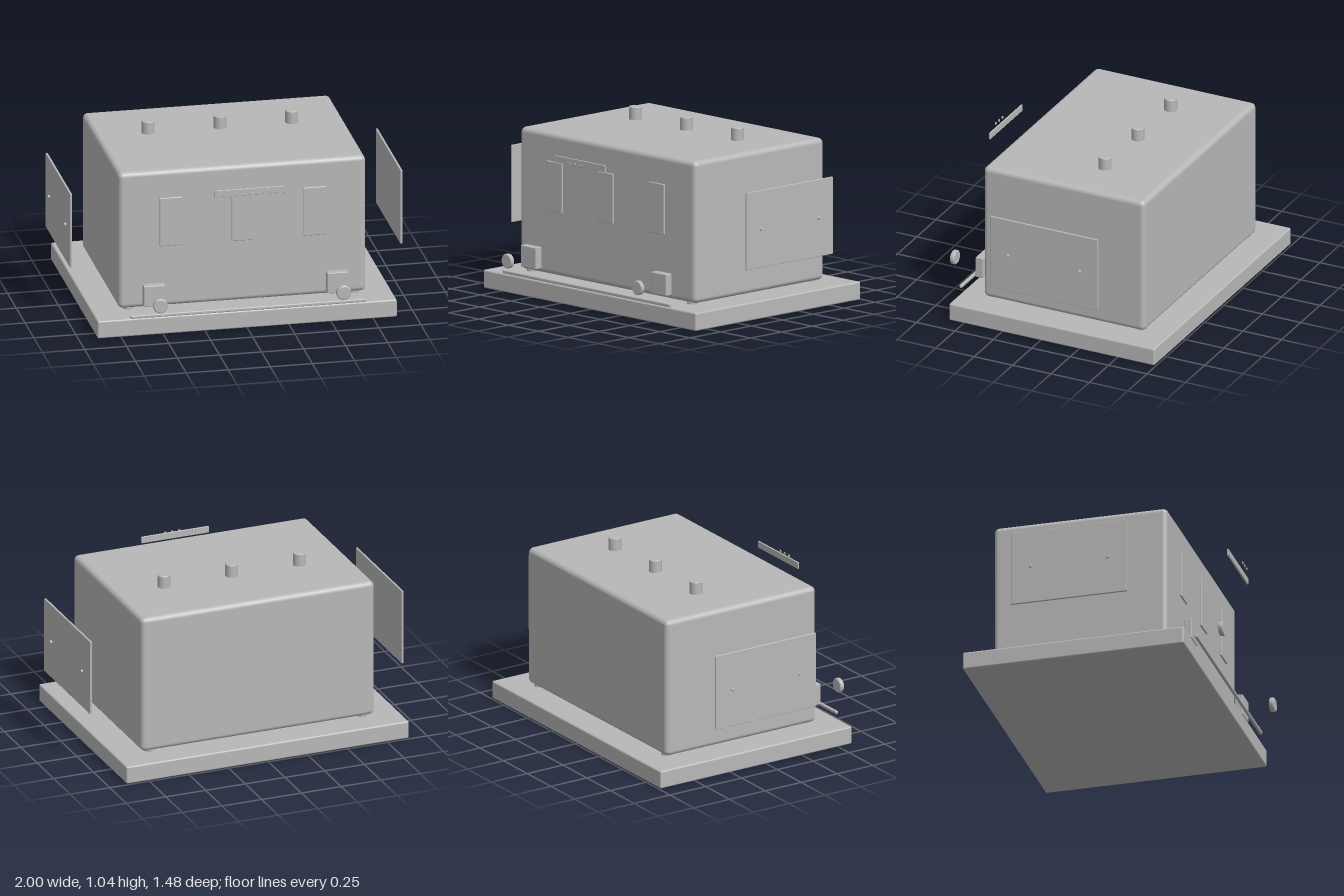
import * as THREE from 'three';
import { RoundedBoxGeometry } from 'three/addons/geometries/RoundedBoxGeometry.js';

const grey = new THREE.MeshStandardMaterial({ color: 0xb8b8b8 });
grey.name = 'plain grey';

export function createModel() {
  const model = new THREE.Group();
  model.name = 'explodedAppliance';

  const add = (name, geometry, x, y, z) => {
    const mesh = new THREE.Mesh(geometry, grey);
    mesh.name = name;
    mesh.position.set(x, y, z);
    model.add(mesh);
    return mesh;
  };
  // Rounded box given by its limits on each axis
  const box = (name, [x0, x1], [y0, y1], [z0, z1], radius) =>
    add(name, new RoundedBoxGeometry(x1 - x0, y1 - y0, z1 - z0, 4, radius),
      (x0 + x1) / 2, (y0 + y1) / 2, (z0 + z1) / 2);
  // Cylinder with softened rims, standing along y
  const disc = (name, r, h, bevel, x, y, z) => {
    const profile = [[0, -h / 2], [r - bevel, -h / 2], [r, -h / 2 + bevel],
      [r, h / 2 - bevel], [r - bevel, h / 2], [0, h / 2]];
    const points = [];
    // Doubled points keep the rims crisp
    profile.forEach(([a, b], i) => {
      points.push(new THREE.Vector2(a, b));
      if (i > 0 && i < 5) points.push(new THREE.Vector2(a, b));
    });
    return add(name, new THREE.LatheGeometry(points, 32), x, y, z);
  };

  // Base slab and main housing
  box('base', [-0.89, 0.89], [0, 0.108], [-0.742, 0.595], 0.01);
  box('housing', [-0.735, 0.735], [0.118, 0.96], [-0.598, 0.45], 0.03);

  // Feet between base and housing
  for (const x of [-0.67, 0.67])
    for (const z of [-0.555, 0.41]) disc('foot', 0.03, 0.03, 0.003, x, 0.118, z);

  // Top studs and front panels share the same spacing
  for (const x of [-0.427, 0, 0.427]) {
    disc('topStud', 0.038, 0.085, 0.003, x, 0.993, -0.19);
    box('frontPanel', [x - 0.067, x + 0.067], [0.497, 0.797], [0.458, 0.47], 0.005);
  }

  for (const side of [-1, 1]) {
    // Side panel with two screws
    const xs = [side * 0.975, side * 0.988].sort((a, b) => a - b);
    box('sidePanel', xs, [0.332, 0.79], [-0.422, 0.278], 0.003);
    for (const z of [-0.305, 0.162])
      disc('screw', 0.01, 0.014, 0.002, side * 0.993, 0.561, z).rotation.z = Math.PI / 2;

    // Corner block with its round cap
    const x = side * 0.545;
    box('cornerBlock', [x - 0.063, x + 0.063], [0.163, 0.291], [0.515, 0.564], 0.005);
    disc('roundCap', 0.043, 0.028, 0.005, x, 0.228, 0.728).rotation.x = Math.PI / 2;
  }

  // Lower front rail
  box('frontRail', [-0.7, 0.7], [0.118, 0.138], [0.606, 0.624], 0.006);

  // Display strip and its three buttons
  box('displayStrip', [-0.212, 0.212], [0.857, 0.897], [0.665, 0.675], 0.002);
  for (const x of [-0.044, 0, 0.044])
    disc('button', 0.009, 0.005, 0.001, x, 0.877, 0.713).rotation.x = Math.PI / 2;

  return model;
}
